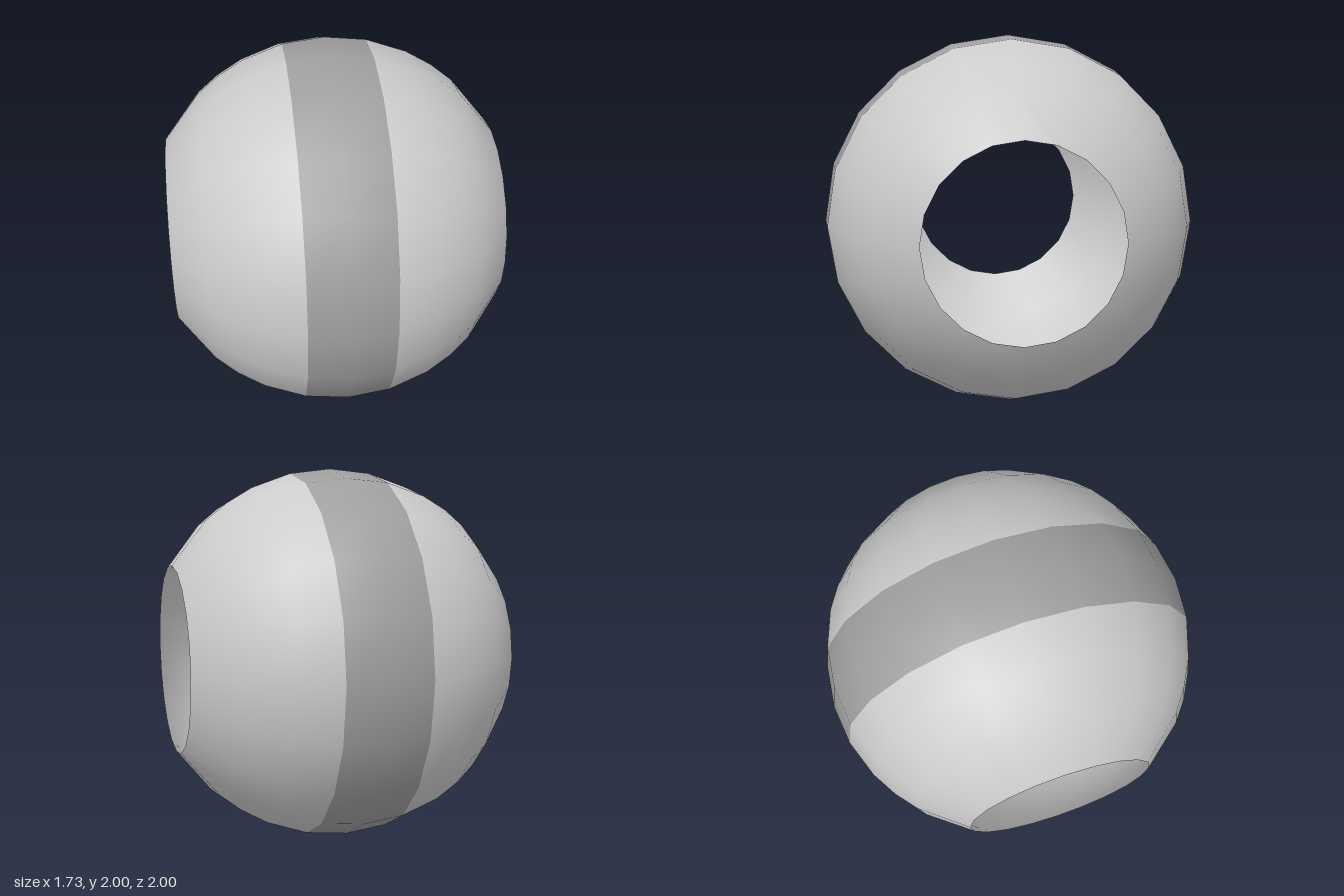
import * as THREE from 'three';

const SEGMENTS = 20;

// Open ring of a unit sphere around the x axis, through the given x stations (ascending).
function sphereRing(name, stations, color) {
  const profile = stations.map((x) => new THREE.Vector2(Math.sqrt(1 - x * x), x));
  const geometry = new THREE.LatheGeometry(profile, SEGMENTS);
  geometry.rotateZ(-Math.PI / 2);

  // Smooth sphere normals, continuous across the seams between rings
  const position = geometry.attributes.position;
  const v = new THREE.Vector3();
  for (let i = 0; i < position.count; i++) {
    v.fromBufferAttribute(position, i).normalize();
    geometry.attributes.normal.setXYZ(i, v.x, v.y, v.z);
  }

  const material = new THREE.MeshStandardMaterial({ color, side: THREE.DoubleSide });
  const mesh = new THREE.Mesh(geometry, material);
  mesh.name = name;
  mesh.position.y = 1;
  return mesh;
}

export function createModel() {
  const group = new THREE.Group();
  group.name = 'bead';

  // Light shells on either side, each ending in a round opening
  const side = [0.2225, 0.434, 0.57, 0.68, 0.866];
  group.add(sphereRing('leftShell', side, 0xcccccc));
  group.add(sphereRing('rightShell', side.map((x) => -x).reverse(), 0xcccccc));

  // Darker band around the middle
  group.add(sphereRing('centreBand', [-0.2225, 0, 0.2225], 0x9f9f9f));

  return group;
}
